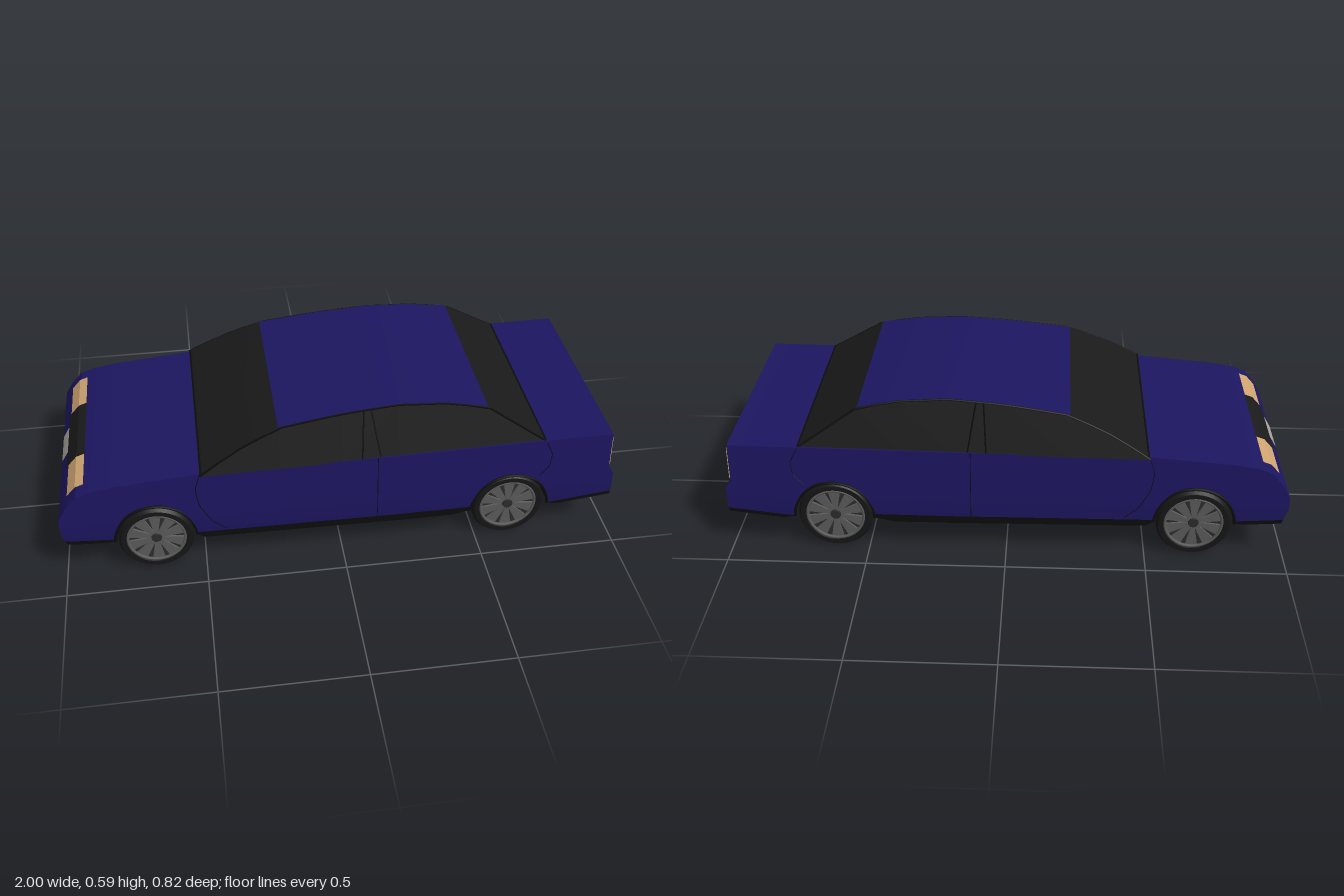
import * as THREE from 'three';
import { toCreasedNormals } from 'three/addons/utils/BufferGeometryUtils.js';

const V = (x, y, z) => new THREE.Vector3(x, y, z);
const mat = (color) => new THREE.MeshStandardMaterial({ color, side: THREE.DoubleSide });
const paint = mat(0x1c1660), glass = mat(0x1a1a1a), black = mat(0x0c0c0c), rubber = mat(0x161616);
const lamp = mat(0xcfa470), plateGrey = mat(0xa8a098), alloy = mat(0x5c5c5c), alloyDark = mat(0x2c2c2c);

// Piecewise-linear curve through [x, value] knots
const curve = (knots) => (x) => {
  if (x <= knots[0][0]) return knots[0][1];
  for (let i = 1; i < knots.length; i++) {
    const [x0, y0] = knots[i - 1], [x1, y1] = knots[i];
    if (x <= x1) return y0 + (y1 - y0) * (x - x0) / (x1 - x0);
  }
  return knots[knots.length - 1][1];
};
const topY = curve([[-1, 0.25], [-0.97, 0.3], [-0.93, 0.345], [-0.88, 0.363], [-0.8, 0.377], [-0.5, 0.403], [0, 0.408], [0.3, 0.412], [1, 0.421]]);
const floorY = curve([[-1, 0.14], [-0.82, 0.13], [-0.5, 0.12], [0.5, 0.12], [0.77, 0.123], [1, 0.152]]);
const skirtY = curve([[-1, 0.156], [-0.82, 0.146], [-0.5, 0.147], [0.5, 0.152], [0.77, 0.138], [1, 0.167]]);
const halfW = curve([[-1, 0.39], [-0.5, 0.398], [0.2, 0.409], [1, 0.409]]);
const roofY = curve([[-0.5, 0.403], [-0.38, 0.475], [-0.22, 0.545], [0, 0.575], [0.2, 0.59], [0.37, 0.581], [0.52, 0.556], [0.735, 0.416]]);
const cabinZ = (y) => 0.386 - (y - 0.41) * 0.335;

// Wheel arches
const AXLES = [-0.67, 0.617], HUB = 0.135, ARCH = 0.148;
const archY = (x) => {
  const c = AXLES.find((a) => Math.abs(x - a) <= ARCH + 1e-6);
  return c === undefined ? 0 : HUB + Math.sqrt(Math.max(0, ARCH ** 2 - (x - c) ** 2));
};
const stations = [-1, -0.985, -0.97, -0.95, -0.93, -0.88, -0.84, -0.5, -0.25, 0, 0.2, 0.4, 0.8, 0.9, 0.975, 1];
for (const a of AXLES) for (let i = 0; i <= 20; i++) stations.push(a - ARCH * Math.cos(i / 20 * Math.PI));
stations.sort((a, b) => a - b);

// Point on the body side: waist bulge, tucked-under nose, stepped rear bumper
function skin(x, y, s) {
  const w = halfW(x) - Math.max(0, y - 0.2) * 0.085 - Math.max(0, 0.2 - y) * 0.05;
  let px = x;
  if (x < -0.95) px += Math.max(0, 0.2 - y) * 0.3 * (-0.95 - x) / 0.05;
  if (x > 0.98) px -= 0.02 * THREE.MathUtils.clamp((y - 0.25) / 0.03, 0, 1);
  return V(px, y, s * w);
}

// Surface through rows of points
function sheet(rows, material, name, crease = 0.4) {
  const pos = [];
  const tri = (a, b, c) => {
    if (b.clone().sub(a).cross(c.clone().sub(a)).length() > 1e-9) for (const p of [a, b, c]) pos.push(p.x, p.y, p.z);
  };
  for (let i = 0; i + 1 < rows.length; i++) for (let j = 0; j + 1 < rows[i].length; j++) {
    const a = rows[i][j], b = rows[i + 1][j], c = rows[i + 1][j + 1], d = rows[i][j + 1];
    tri(a, b, c);
    tri(a, c, d);
  }
  const g = new THREE.BufferGeometry();
  g.setAttribute('position', new THREE.Float32BufferAttribute(pos, 3));
  return mesh(toCreasedNormals(g, crease), material, name);
}
function mesh(geometry, material, name) {
  const m = new THREE.Mesh(geometry, material);
  m.name = name;
  return m;
}
function tube(points, r, material, name) {
  const path = new THREE.CurvePath();
  for (let i = 1; i < points.length; i++) path.add(new THREE.LineCurve3(points[i - 1], points[i]));
  return mesh(new THREE.TubeGeometry(path, 16, r, 5), material, name);
}
// Flat panel facing the rear, outlined in [z, y]
function rearPanel(outline, x, material, name) {
  const shape = new THREE.Shape(outline.map(([z, y]) => new THREE.Vector2(z, y)));
  const g = new THREE.ExtrudeGeometry(shape, { depth: 0.012, bevelEnabled: false });
  return mesh(g.rotateY(-Math.PI / 2).translate(x, 0, 0), material, name);
}
const rect = (w, y0, y1) => [[-w, y0], [w, y0], [w, y1], [-w, y1]];

// Patch lying on the sloping nose
function nosePatch(x0, x1, z0, z1, lift, material, name) {
  const xs = [x0, ...[-0.97, -0.93, -0.88].filter((x) => x > x0 && x < x1), x1];
  return sheet(xs.map((x) => [V(x - lift, topY(x) + lift, z0), V(x - lift, topY(x) + lift, z1)]), material, name);
}

function makeWheel() {
  const wheel = new THREE.Group();
  const profile = [[0.1, -0.057], [0.126, -0.057], [0.134, -0.045], [0.134, 0.045], [0.126, 0.057], [0.108, 0.057], [0.104, 0.045]];
  const tyre = new THREE.LatheGeometry(profile.map(([r, y]) => new THREE.Vector2(r, y)), 40).rotateX(Math.PI / 2);
  wheel.add(mesh(toCreasedNormals(tyre, 0.5), rubber, 'tyre'));
  const disc = mesh(new THREE.CylinderGeometry(0.105, 0.105, 0.08, 32).rotateX(Math.PI / 2), alloyDark, 'rimBack');
  wheel.add(disc);
  const ring = mesh(new THREE.TorusGeometry(0.102, 0.006, 6, 40), alloy, 'rimRing');
  ring.position.z = 0.05;
  wheel.add(ring);
  // Tapered spokes
  const spoke = new THREE.Shape([[0.01, -0.005], [0.1, -0.022], [0.1, 0.022], [0.01, 0.005]].map(([x, y]) => new THREE.Vector2(x, y)));
  const spokeGeo = new THREE.ExtrudeGeometry(spoke, { depth: 0.008, bevelEnabled: false });
  for (let i = 0; i < 10; i++) {
    const m = mesh(spokeGeo, alloy, 'spoke');
    m.position.z = 0.04;
    m.rotation.z = (i + 0.5) * Math.PI / 5;
    wheel.add(m);
  }
  const hub = mesh(new THREE.CylinderGeometry(0.018, 0.022, 0.014, 16).rotateX(Math.PI / 2), alloyDark, 'hubCap');
  hub.position.z = 0.046;
  wheel.add(hub);
  return wheel;
}

export function createModel() {
  const car = new THREE.Group();
  car.name = 'car';
  const levels = [0, 0.165, 0.2, 0.25, 0.28, 0.34, 9];
  const sideRow = (x, s) => {
    const low = Math.max(skirtY(x), archY(x));
    return levels.map((y) => skin(x, THREE.MathUtils.clamp(y, low, topY(x)), s));
  };
  const skirtRow = (x, s) => {
    const low = Math.max(floorY(x), archY(x));
    return [skin(x, low, s), skin(x, Math.max(low, skirtY(x)), s)];
  };

  // Body shell
  const body = new THREE.Group();
  body.name = 'body';
  car.add(body);
  for (const s of [1, -1]) {
    body.add(sheet(stations.map((x) => sideRow(x, s)), paint, 'bodySide'));
    body.add(sheet(stations.map((x) => skirtRow(x, s)), black, 'sill'));
  }
  body.add(sheet(stations.map((x) => [skin(x, topY(x), 1), skin(x, topY(x), -1)]), paint, 'hoodAndBootLid'));
  for (const [x, name] of [[-1, 'front'], [1, 'rear']]) {
    body.add(sheet([sideRow(x, 1), sideRow(x, -1)], paint, name + 'Bumper'));
    body.add(sheet([skirtRow(x, 1), skirtRow(x, -1)], black, name + 'Valance'));
  }
  // Floor with wheel wells
  body.add(sheet(stations.map((x) => {
    const f = floorY(x), low = Math.max(f, archY(x));
    const half = (s) => [skin(x, low, s), V(skin(x, low, s).x, low, s * 0.26), V(skin(x, f, s).x, f, s * 0.26)];
    return [...half(1), ...half(-1).reverse()];
  }), black, 'floor'));

  // Cabin
  const cabin = new THREE.Group();
  cabin.name = 'cabin';
  car.add(cabin);
  const across = (x) => [1, -1].map((s) => V(x, roofY(x), s * cabinZ(roofY(x))));
  cabin.add(sheet([-0.5, -0.38, -0.22].map(across), glass, 'windscreen'));
  cabin.add(sheet([-0.22, -0.1, 0, 0.1, 0.2, 0.28, 0.37, 0.45, 0.52].map(across), paint, 'roof'));
  cabin.add(sheet([0.52, 0.735].map(across), glass, 'rearWindow'));
  const cabinXs = [-0.5, -0.38, -0.22, 0, 0.2, 0.37, 0.52, 0.735];
  const onGlass = (x, y, s) => V(x, y, s * cabinZ(y));
  for (const s of [1, -1]) {
    cabin.add(sheet(cabinXs.map((x) => [onGlass(x, topY(x) - 0.005, s), onGlass(x, roofY(x), s)]), glass, 'sideWindow'));
    cabin.add(tube(cabinXs.map((x) => onGlass(x, roofY(x) - 0.003, s)), 0.004, black, 'windowFrame'));
    cabin.add(tube([onGlass(0.07, 0.408, s), onGlass(0.08, 0.581, s)], 0.003, black, 'doorPillar'));
    cabin.add(tube([onGlass(0.135, 0.41, s), onGlass(0.105, 0.583, s)], 0.003, black, 'doorPillar'));
    // Door seams
    const seams = [
      [[-0.5, 0.4], [-0.52, 0.34], [-0.51, 0.27], [-0.47, 0.2], [-0.42, 0.155]],
      [[0.125, 0.41], [0.125, 0.2], [0.125, 0.155]],
      [[0.735, 0.412], [0.76, 0.36], [0.755, 0.31], [0.72, 0.27]],
    ];
    for (const seam of seams) body.add(tube(seam.map(([x, y]) => skin(x, y, s)), 0.0015, black, 'doorSeam'));
  }
  for (const [x, name] of [[-0.495, 'windscreenSeal'], [0.73, 'rearWindowSeal']])
    cabin.add(tube([onGlass(x, topY(x) + 0.002, 1), onGlass(x, topY(x) + 0.002, -1)], 0.004, black, name));

  // Rear lights, panel and plate
  const tail = [[0.398, 0.287], [0.387, 0.405], [0.29, 0.405], [0.258, 0.392], [0.242, 0.367], [0.247, 0.287]];
  for (const s of [1, -1]) car.add(rearPanel(tail.map(([z, y]) => [z * s, y]), 0.984, lamp, 'tailLight'));
  car.add(rearPanel(rect(0.162, 0.285, 0.37), 0.984, glass, 'rearPanel'));
  car.add(rearPanel(rect(0.083, 0.285, 0.326), 0.988, plateGrey, 'rearPlate'));

  // Headlights, grille, plate and lower intake
  for (const s of [1, -1]) {
    car.add(nosePatch(-0.962, -0.9, s * 0.155, s * 0.325, 0.003, lamp, 'headlight'));
    const fog = mesh(new THREE.BoxGeometry(0.014, 0.022, 0.045), lamp, 'fogLight');
    fog.position.set(-0.996, 0.205, s * 0.29);
    car.add(fog);
  }
  car.add(nosePatch(-0.972, -0.9, -0.155, 0.155, 0.002, glass, 'grille'));
  car.add(nosePatch(-0.993, -0.967, -0.075, 0.075, 0.004, plateGrey, 'frontPlate'));
  const intake = mesh(new THREE.BoxGeometry(0.012, 0.032, 0.66), black, 'lowerIntake');
  intake.position.set(-0.996, 0.205, 0);
  car.add(intake);

  // Wheels and arch lips
  for (const x of AXLES) for (const s of [1, -1]) {
    const wheel = makeWheel();
    wheel.name = x < 0 ? 'frontWheel' : 'rearWheel';
    wheel.position.set(x, HUB, s * 0.34);
    if (s < 0) wheel.rotation.y = Math.PI;
    car.add(wheel);
    const lip = mesh(new THREE.TorusGeometry(ARCH - 0.003, 0.006, 6, 28, Math.PI), black, 'archLip');
    lip.position.set(x, HUB, s * (halfW(x) - 0.006));
    car.add(lip);
  }
  return car;
}
